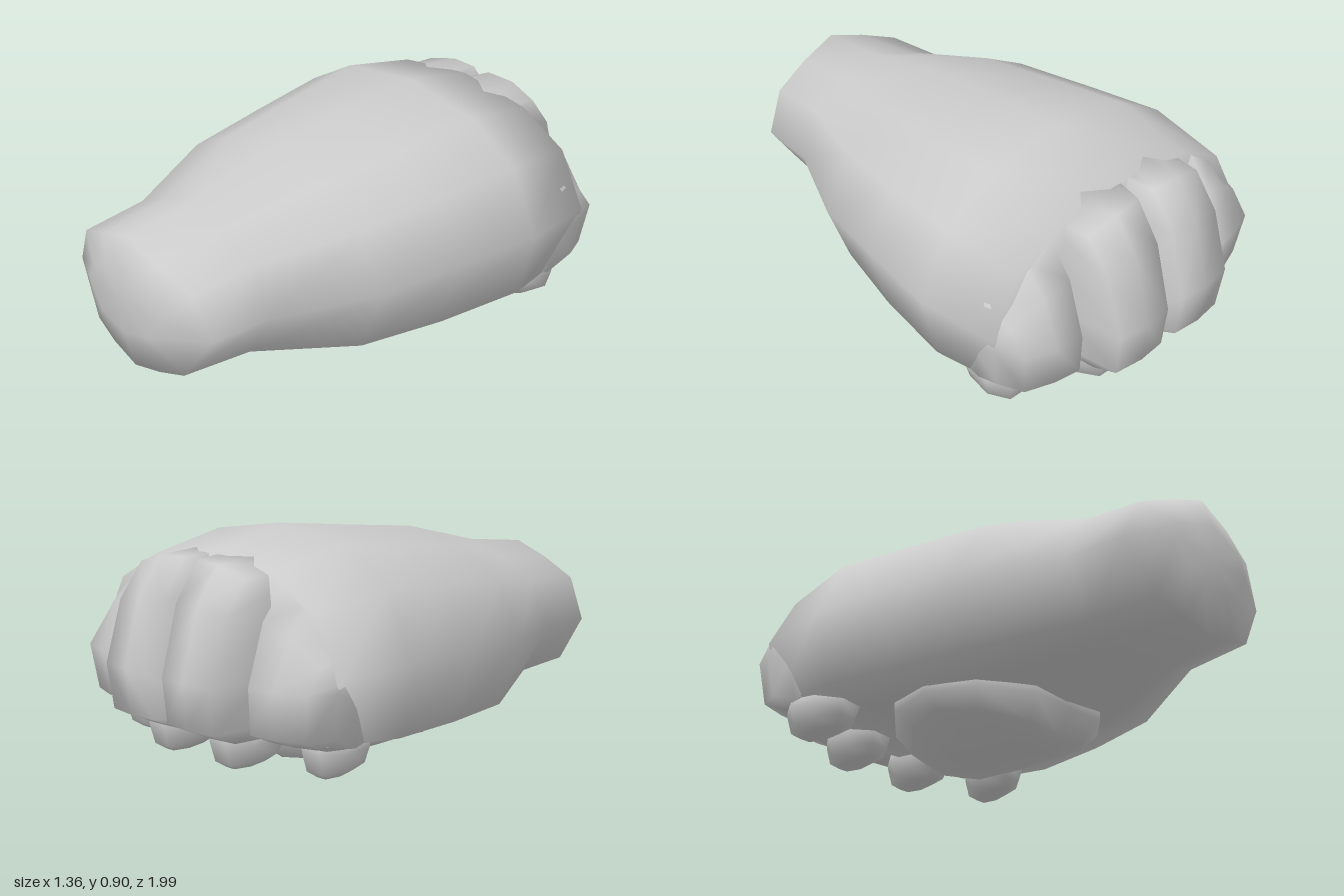
import * as THREE from 'three';

const mat = new THREE.MeshStandardMaterial({ color: 0xcccccc, roughness: 0.8 });
const lerp = THREE.MathUtils.lerp;

// Smooth closed skin through rings of [x, y, z] points, capped by fans
function loft(name, rings) {
  const n = rings[0].length, pos = rings.flat(), idx = [];
  for (let r = 0; r < rings.length - 1; r++)
    for (let i = 0; i < n; i++) {
      const a = r * n + i, b = r * n + (i + 1) % n;
      idx.push(a, b, a + n, b, b + n, a + n);
    }
  [0, rings.length - 1].forEach((r, end) => {
    const c = [0, 1, 2].map(k => rings[r].reduce((s, p) => s + p[k], 0) / n);
    const ci = pos.push(c) - 1;
    for (let i = 0; i < n; i++) {
      const a = r * n + i, b = r * n + (i + 1) % n;
      if (end) idx.push(a, b, ci); else idx.push(b, a, ci);
    }
  });
  // Turn the faces outward if the enclosed volume comes out negative
  let vol = 0;
  const v = idx.map(i => new THREE.Vector3(...pos[i]));
  for (let i = 0; i < v.length; i += 3) vol += v[i].dot(v[i + 1].clone().cross(v[i + 2]));
  if (vol < 0) idx.reverse();
  const g = new THREE.BufferGeometry();
  g.setAttribute('position', new THREE.Float32BufferAttribute(pos.flat(), 3));
  g.setIndex(idx);
  g.computeVertexNormals();
  const m = new THREE.Mesh(g, mat);
  m.name = name;
  return m;
}

// Half cross-sections, top to bottom: round wrist and flat-soled paw
const WRIST = [[0, 1], [0.4, 0.8], [0.8, 0.57], [1, 0], [0.66, -0.73], [0.35, -0.87], [0, -1]];
const PAW = [[0, 1], [0.5, 0.88], [0.82, 0.58], [1, 0], [0.9, -0.85], [0.58, -0.92], [0, -1]];

function bodyRing([z, x0, x1, top, mid, bot, k, bend]) {
  const cx = (x0 + x1) / 2, w = (x1 - x0) / 2;
  const half = WRIST.map((p, i) => [lerp(p[0], PAW[i][0], k), lerp(p[1], PAW[i][1], k)]);
  const full = [...half, ...half.slice(1, -1).reverse().map(([x, y]) => [-x, y])];
  return full.map(([x, y]) =>
    [cx + w * x, mid + y * (y > 0 ? top - mid : mid - bot), z - bend * x * x]);
}

// One column of a toe: profile from the knuckle over the tip to the sole
function toeColumn([x, tip, h], side) {
  return [
    [x, h + 0.02, -0.5], [x, h, tip + 0.17], [x, lerp(0.42, h, 0.64), tip + 0.07],
    [x, 0.42, tip], [x * 0.96, 0.25, tip + 0.02], [x * 0.93, 0.2, tip + 0.13], [x * 0.93, 0.23, -0.5],
  ].map(([px, y, z]) => [px * side, y, z]);
}

// Small bean-shaped toe pad
function toePad(name, x, z, lean) {
  const rings = [[0.24, 1, 1], [0.18, 1, 1], [0.12, 0.85, 0.87], [0.09, 0.45, 0.6]];
  return loft(name, rings.map(([y, sx, sz]) => Array.from({ length: 8 }, (_, i) => {
    const a = (i + 0.5) * Math.PI / 4, dx = Math.cos(a) * 0.115 * sx, dz = Math.sin(a) * 0.155 * sz;
    return [x + dx + dz * lean, y - dz * 0.1 * (y < 0.15 ? -1 : 0), z + dz];
  })));
}

export function createModel() {
  const model = new THREE.Group();
  model.name = 'paw';

  // Wrist stump widening into the paw: z, xMin, xMax, top, mid, bottom, shape, bend
  model.add(loft('pawBody', [
    [0.99, -0.25, 0.16, 0.58, 0.45, 0.32, 0, 0.01],
    [0.95, -0.43, 0.35, 0.70, 0.42, 0.16, 0, 0.06],
    [0.65, -0.44, 0.37, 0.735, 0.42, 0.16, 0.2, 0],
    [0.28, -0.60, 0.55, 0.825, 0.44, 0.12, 0.7, 0],
    [-0.05, -0.64, 0.62, 0.86, 0.46, 0.13, 0.9, 0],
    [-0.4, -0.68, 0.68, 0.90, 0.47, 0.15, 1, 0],
    [-0.72, -0.645, 0.645, 0.83, 0.46, 0.18, 1, 0],
  ].map(bodyRing)));

  // Toes, split by narrow grooves: columns of x, tip z, top height
  const inner = [[0, -0.8, 0.82], [0.04, -0.99, 0.815], [0.16, -1, 0.81], [0.285, -0.985, 0.775], [0.315, -0.76, 0.76]];
  const outer = [[0.315, -0.76, 0.76], [0.37, -0.885, 0.76], [0.48, -0.87, 0.70], [0.6, -0.83, 0.56], [0.642, -0.73, 0.48]];
  // Main sole pad outline, right half from toe end to heel
  const outline = [[0, -0.46], [0.22, -0.43], [0.37, -0.28], [0.41, -0.08], [0.34, 0.12], [0.18, 0.27], [0, 0.28]];

  for (const [word, s] of [['left', 1], ['right', -1]]) {
    model.add(loft(word + 'InnerToe', inner.map(c => toeColumn(c, s))));
    model.add(loft(word + 'OuterToe', outer.map(c => toeColumn(c, s))));
    model.add(toePad(word + 'InnerToePad', 0.17 * s, -0.71, 0));
    model.add(toePad(word + 'OuterToePad', 0.475 * s, -0.57, -0.12 * s));
  }

  // Sole pad, bowed across its width
  const loop = [...outline, ...outline.slice(1, -1).reverse().map(([x, z]) => [-x, z])];
  const padRing = (y, k, bow) => loop.map(([x, z]) =>
    [x * k, y + bow * x * x * k * k, -0.08 + (z + 0.08) * k]);
  model.add(loft('solePad', [
    padRing(0.22, 1, 0), padRing(0.1, 1, 0.25), padRing(0.005, 0.83, 0.75), padRing(0, 0.45, 0.75),
  ]));
  return model;
}
